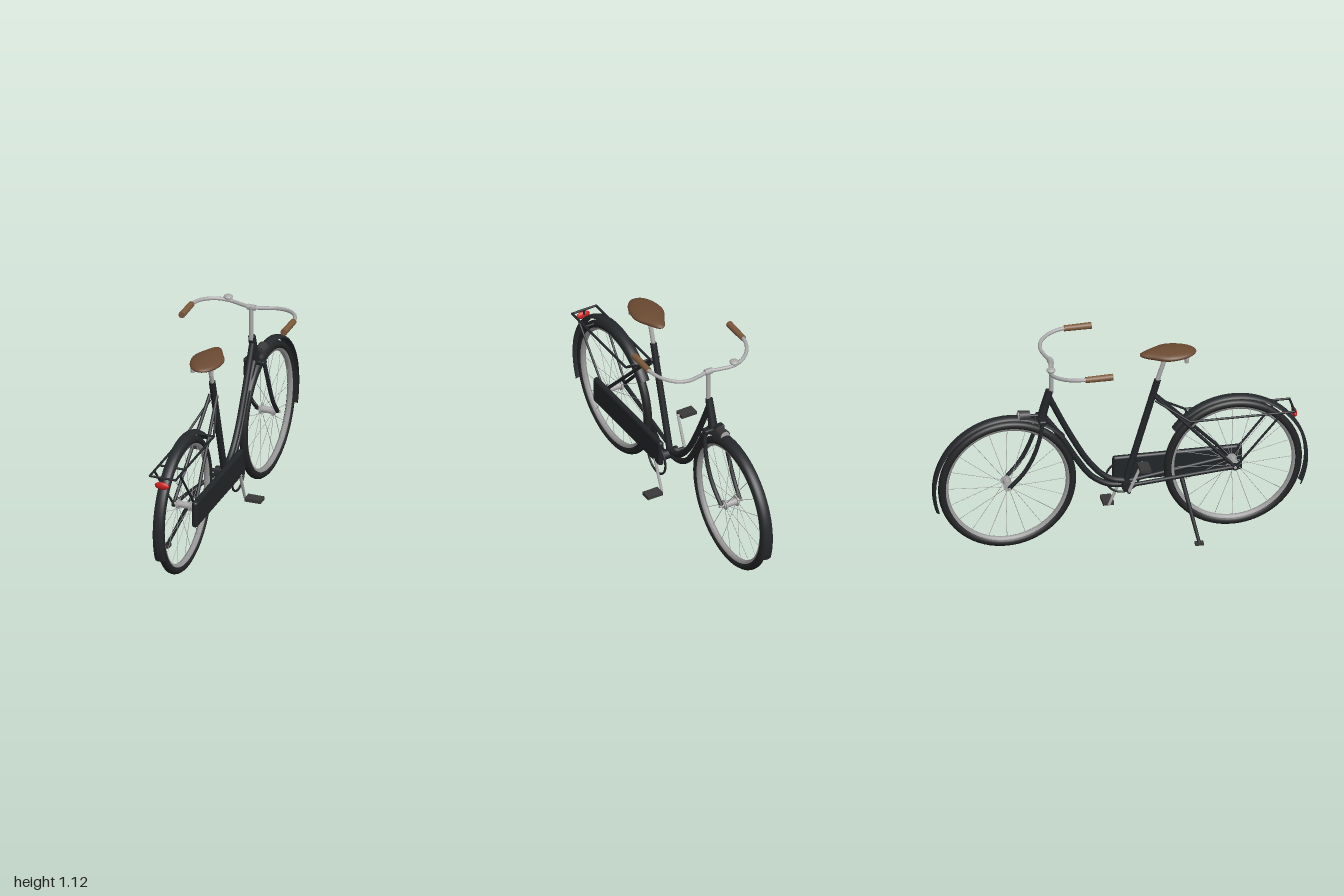
import * as THREE from 'three';
import { RoundedBoxGeometry } from 'three/addons/geometries/RoundedBoxGeometry.js';

const mat = (color, side = THREE.FrontSide) => new THREE.MeshStandardMaterial({ color, side });
const V = (a) => new THREE.Vector3(...a);
const rad = THREE.MathUtils.degToRad;

export function createModel() {
  const bike = new THREE.Group();
  bike.name = 'bicycle';
  const frame = mat(0x222528), rubber = mat(0x232425), steel = mat(0xaaaaaa), dark = mat(0x3a3a3a);
  const leather = mat(0x6b4a32), grip = mat(0x7d5a3c), red = mat(0xcc2222);
  const fenderMat = mat(0x26292c, THREE.DoubleSide);

  const add = (name, geo, material, pos = [0, 0, 0], parent = bike) => {
    const m = new THREE.Mesh(geo, material);
    m.name = name;
    m.position.set(...pos);
    parent.add(m);
    return m;
  };
  // straight round bar between two points
  const rod = (name, a, b, r, material = frame, r2 = r, parent = bike) => {
    const p = V(a), d = V(b).sub(p), len = d.length();
    const m = add(name, new THREE.CylinderGeometry(r2, r, len, r < 0.003 ? 5 : 14), material, [0, 0, 0], parent);
    m.position.copy(p).addScaledVector(d, 0.5);
    m.quaternion.setFromUnitVectors(new THREE.Vector3(0, 1, 0), d.normalize());
    return m;
  };
  // smooth bent tube through points
  const bend = (name, pts, r, material = frame) =>
    add(name, new THREE.TubeGeometry(new THREE.CatmullRomCurve3(pts.map(V)), 40, r, 12), material);
  const mirror = (fn) => [-1, 1].forEach(fn);

  // wheels
  const wheel = (name, z) => {
    const g = new THREE.Group();
    g.name = name;
    g.position.set(0, 0.375, z);
    bike.add(g);
    add('tyre', new THREE.TorusGeometry(0.345, 0.022, 14, 72).rotateY(Math.PI / 2), rubber, [0, 0, 0], g);
    const rim = [[0.334, -0.015], [0.318, -0.013], [0.312, 0], [0.318, 0.013], [0.334, 0.015]];
    add('rim', new THREE.LatheGeometry(rim.map((p) => new THREE.Vector2(...p)), 72).rotateZ(Math.PI / 2),
      mat(0x999999, THREE.DoubleSide), [0, 0, 0], g);
    rod('hub', [-0.045, 0, 0], [0.045, 0, 0], 0.018, steel, 0.018, g);
    rod('axle', [-0.07, 0, 0], [0.07, 0, 0], 0.008, steel, 0.008, g);
    mirror((s) => rod('hubFlange', [s * 0.03, 0, 0], [s * 0.038, 0, 0], 0.027, steel, 0.027, g));
    for (let i = 0; i < 20; i++) {
      const a = (i / 20) * Math.PI * 2, c = Math.cos(a), s = Math.sin(a);
      rod('spoke', [i % 2 ? 0.034 : -0.034, 0.02 * s, 0.02 * c], [0, 0.318 * s, 0.318 * c], 0.0014, steel, 0.0014, g);
    }
  };
  wheel('rearWheel', 0.6);
  wheel('frontWheel', -0.6);

  // mudguards: an arched strip swept around each wheel
  const fender = (name, z, start, sweep) => {
    const pts = [];
    for (let i = 0; i <= 8; i++) {
      const t = rad(-90 + i * 22.5);
      pts.push(new THREE.Vector2(0.383 + 0.016 * Math.cos(t), 0.029 * Math.sin(t)));
    }
    const geo = new THREE.LatheGeometry(pts, 48, rad(start), rad(sweep)).rotateZ(Math.PI / 2);
    add(name, geo, fenderMat, [0, 0.375, z]);
  };
  fender('rearMudguard', 0.6, -24, 168);
  fender('frontMudguard', -0.6, 40, 159);

  // step-through frame
  rod('seatTube', [0, 0.305, 0.024], [0, 0.905, 0.2], 0.018);
  rod('headTube', [0, 0.905, -0.375], [0, 0.74, -0.42], 0.02, frame, 0.025);
  bend('upperDownTube', [[0, 0.87, -0.38], [0, 0.74, -0.32], [0, 0.6, -0.25], [0, 0.47, -0.175],
    [0, 0.38, -0.1], [0, 0.34, -0.04], [0, 0.325, 0.03]], 0.016);
  bend('lowerDownTube', [[0, 0.76, -0.41], [0, 0.69, -0.36], [0, 0.6, -0.3], [0, 0.48, -0.23],
    [0, 0.37, -0.15], [0, 0.315, -0.06], [0, 0.305, 0.03]], 0.016);
  rod('bottomBracket', [-0.045, 0.305, 0.03], [0.045, 0.305, 0.03], 0.027);
  mirror((s) => {
    rod('chainStay', [s * 0.025, 0.305, 0.03], [s * 0.058, 0.375, 0.6], 0.011);
    rod('seatStay', [s * 0.02, 0.82, 0.18], [s * 0.06, 0.375, 0.6], 0.009);
    rod('dropout', [s * 0.055, 0.375, 0.6], [s * 0.064, 0.375, 0.6], 0.02);
  });

  // fork
  add('forkCrown', new RoundedBoxGeometry(0.12, 0.025, 0.04, 2, 0.008), frame, [0, 0.74, -0.42]);
  mirror((s) => bend('forkBlade', [[s * 0.05, 0.745, -0.42], [s * 0.06, 0.65, -0.44],
    [s * 0.064, 0.55, -0.475], [s * 0.062, 0.46, -0.525], [s * 0.056, 0.375, -0.6]], 0.011));

  // headlamp
  rod('headlamp', [0, 0.768, -0.48], [0, 0.768, -0.54], 0.024, dark, 0.03);
  rod('headlampLens', [0, 0.768, -0.54], [0, 0.768, -0.544], 0.025, steel);
  rod('headlampBracket', [0, 0.76, -0.42], [0, 0.765, -0.49], 0.009);

  // stem, handlebar, grips and bell
  rod('stem', [0, 0.89, -0.365], [0, 1.085, -0.365], 0.012, steel);
  rod('stemClamp', [-0.022, 1.076, -0.37], [0.022, 1.076, -0.37], 0.016, steel);
  const half = [[0.06, 1.076, -0.383], [0.13, 1.08, -0.397], [0.2, 1.088, -0.38],
    [0.257, 1.097, -0.325], [0.284, 1.104, -0.25], [0.285, 1.105, -0.17]];
  bend('handlebar', [...half.map(([x, y, z]) => [-x, y, z]).reverse(), [0, 1.075, -0.37], ...half], 0.01, steel);
  mirror((s) => rod('handGrip', [s * 0.285, 1.104, -0.24], [s * 0.285, 1.106, -0.095], 0.016, grip, 0.018));
  add('bell', new THREE.SphereGeometry(0.025, 20, 12).scale(1, 0.5, 1), steel, [-0.14, 1.101, -0.395]);
  rod('bellMount', [-0.14, 1.08, -0.395], [-0.14, 1.1, -0.395], 0.008, steel);

  // saddle: flattened ball narrowing to a nose
  rod('seatPost', [0, 0.89, 0.195], [0, 1.04, 0.243], 0.012, steel);
  const saddle = new THREE.SphereGeometry(1, 32, 20), p = saddle.attributes.position;
  for (let i = 0; i < p.count; i++) {
    const z = p.getZ(i);
    const w = z < 0 ? 1 - 0.38 * THREE.MathUtils.smoothstep(-z, 0, 0.8) : 1;
    p.setXYZ(i, p.getX(i) * 0.087 * w, p.getY(i) * 0.027, z * 0.15);
  }
  saddle.computeVertexNormals();
  add('saddle', saddle, leather, [0, 1.059, 0.255]);
  mirror((s) => rod('saddleSpring', [s * 0.052, 1.02, 0.345], [s * 0.052, 1.055, 0.345], 0.012, steel));

  // rear carrier
  mirror((s) => {
    rod('rackRail', [s * 0.072, 0.675, 0.915], [s * 0.072, 0.675, 0.36], 0.006);
    rod('rackFrontStay', [s * 0.072, 0.675, 0.36], [s * 0.018, 0.79, 0.185], 0.006);
    rod('rackStrut', [s * 0.072, 0.675, 0.85], [s * 0.064, 0.375, 0.6], 0.006);
  });
  [0.915, 0.78, 0.36].forEach((z) => rod('rackCrossbar', [-0.075, 0.675, z], [0.075, 0.675, z], 0.006));
  add('tailLight', new THREE.SphereGeometry(1, 24, 14).scale(0.04, 0.021, 0.013), red, [0, 0.635, 0.926]);
  rod('tailLightBracket', [0, 0.675, 0.915], [0, 0.635, 0.92], 0.006);

  // chain case and chainring
  add('chainCase', new RoundedBoxGeometry(0.032, 0.148, 0.69, 4, 0.015), frame, [0.079, 0.357, 0.32]);
  add('chainring', new THREE.TorusGeometry(0.09, 0.006, 8, 40).rotateY(Math.PI / 2), frame, [0.079, 0.305, 0.03]);

  // cranks and pedals
  rod('crankAxle', [-0.095, 0.305, 0.03], [0.095, 0.305, 0.03], 0.01);
  mirror((s) => {
    const y = 0.305 - s * 0.165, z = 0.03 - s * 0.07;
    rod('crankArm', [s * 0.09, 0.305, 0.03], [s * 0.09, y, z], 0.009, steel, 0.007);
    rod('pedalAxle', [s * 0.085, y, z], [s * 0.12, y, z], 0.006, steel);
    add('pedal', new THREE.BoxGeometry(0.09, 0.019, 0.058), dark, [s * 0.143, y, z]);
  });

  // kickstand
  rod('kickstand', [-0.04, 0.33, 0.32], [-0.178, 0.012, 0.385], 0.012, frame, 0.009);
  add('kickstandFoot', new THREE.BoxGeometry(0.03, 0.014, 0.045), dark, [-0.178, 0.008, 0.385]);
  return bike;
}
